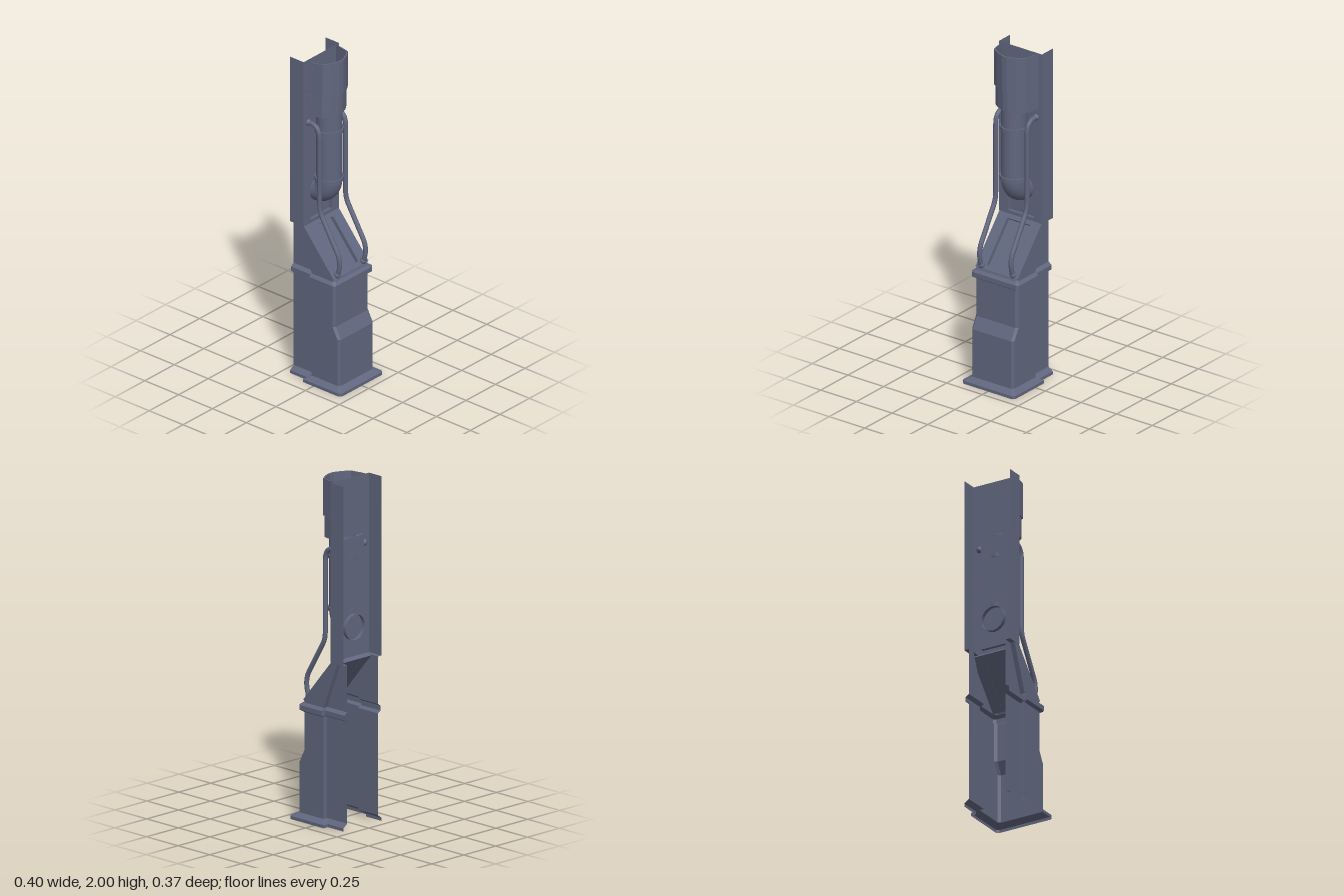
import * as THREE from 'three';

const COLOR = 0x60667e;
const sheetMat = new THREE.MeshStandardMaterial({ color: COLOR, flatShading: true, side: THREE.DoubleSide });
const smoothMat = new THREE.MeshStandardMaterial({ color: COLOR, side: THREE.DoubleSide });

// Open sheet lofted through rows of [x, y, z] points
function loft(rows) {
  const pos = [];
  for (let i = 0; i < rows.length - 1; i++) {
    for (let j = 0; j < rows[i].length - 1; j++) {
      const a = rows[i][j], b = rows[i][j + 1], c = rows[i + 1][j + 1], d = rows[i + 1][j];
      pos.push(...a, ...c, ...b, ...a, ...d, ...c);
    }
  }
  const g = new THREE.BufferGeometry();
  g.setAttribute('position', new THREE.Float32BufferAttribute(pos, 3));
  g.computeVertexNormals();
  return g;
}

// Half outline of [x, z] from the rear edge forward, mirrored to a full row at height y
function row(y, half) {
  const left = half.map(([x, z]) => [x, y, z]);
  const right = half.slice().reverse().map(([x, z]) => [x, y, -z]);
  return [...left, ...right];
}

export function createModel() {
  const group = new THREE.Group();
  const add = (name, geo, mat = sheetMat, parent = group) => {
    const m = new THREE.Mesh(geo, mat);
    m.name = name;
    parent.add(m);
    return m;
  };

  // Pedestal shell, open at the rear: y, rear wall z, step x, body z, front x
  const level = (y, zr, xs, zb, xf, c = 0.014) =>
    row(y, [[-0.2, zr], [xs, zr], [xs, zb], [xf - c, zb], [xf, zb - c]]);
  add('pedestal', loft([
    level(0, 0.15, -0.077, 0.183, 0.2),
    level(0.018, 0.15, -0.077, 0.183, 0.2),
    level(0.04, 0.12, -0.042, 0.148, 0.162),
    level(0.33, 0.12, -0.042, 0.148, 0.162),
    level(0.4, 0.12, -0.042, 0.148, 0.125),
    level(0.63, 0.12, -0.042, 0.148, 0.125),
  ]));
  add('belt', loft([
    level(0.63, 0.12, -0.042, 0.148, 0.125),
    level(0.642, 0.142, -0.045, 0.167, 0.142),
    level(0.67, 0.142, -0.045, 0.167, 0.142),
    level(0.685, 0.12, -0.042, 0.148, 0.125),
    level(0.7, 0.12, -0.048, 0.148, 0.12),
  ]));

  // Shoulder sides
  for (const s of [1, -1]) {
    const side = (y, xs, xf) => [[-0.2, y, s * 0.12], [xs, y, s * 0.12], [xs, y, s * 0.148], [xf, y, s * 0.148]];
    add(s > 0 ? 'shoulderLeft' : 'shoulderRight', loft([side(0.7, -0.048, 0.12), side(0.96, -0.15, -0.1)]));
  }

  // Sloping shoulder face with a sunken window
  const slope = new THREE.Group();
  slope.name = 'shoulderFace';
  const run = new THREE.Vector3(-0.22, 0.26, 0);
  const len = run.length();
  const across = new THREE.Vector3(0, 0, -1);
  const up = run.clone().normalize();
  const out = across.clone().cross(up);
  slope.quaternion.setFromRotationMatrix(new THREE.Matrix4().makeBasis(across, up, out));
  slope.position.set(0.12, 0.7, 0).addScaledVector(out, -0.025);
  group.add(slope);
  const rect = (p, w, y0, y1) => {
    p.moveTo(-w, y0); p.lineTo(w, y0); p.lineTo(w, y1); p.lineTo(-w, y1); p.closePath();
    return p;
  };
  const frame = rect(new THREE.Shape(), 0.148, 0, len);
  frame.holes.push(rect(new THREE.Path(), 0.08, 0.027, len - 0.027));
  add('windowFrame', new THREE.ExtrudeGeometry(frame, { depth: 0.025, bevelEnabled: false }), sheetMat, slope);
  add('windowPanel', new THREE.PlaneGeometry(0.17, len - 0.04), sheetMat, slope).position.set(0, len / 2, 0.001);

  // Upright channel with a shallow recess behind the pipe
  const channel = (y, z, xr) => row(y, [[-0.2, z], [-0.1, z], [-0.1, 0.09], [xr, 0.09]]);
  add('channel', loft([
    channel(0.96, 0.12, -0.1),
    channel(0.96, 0.15, -0.1),
    channel(0.98, 0.15, -0.1),
    channel(0.98, 0.15, -0.12),
    channel(1.66, 0.15, -0.12),
    channel(1.66, 0.15, -0.1),
    channel(2, 0.15, -0.1),
  ]));

  // Faceted collar with a raised upper band and closed bottom
  const arch = [[-0.1, 0.126], [-0.005, 0.104], [0.022, 0.064], [0.04, 0.015]];
  const band = [[-0.06, 0.122], [0.002, 0.109], [0.03, 0.066], [0.049, 0.015]];
  add('collar', loft([
    row(1.66, arch.map(() => [-0.1, 0])),
    row(1.66, arch),
    row(2, arch),
  ]));
  add('collarBand', loft([row(1.785, arch), row(1.785, band), row(2, band), row(2, arch)]));

  // Main pipe and its elbow into the back plate
  const pipeX = -0.042;
  const pipePath = new THREE.CurvePath();
  const v = (x, y, z = 0) => new THREE.Vector3(x, y, z);
  pipePath.add(new THREE.LineCurve3(v(pipeX, 1.67), v(pipeX, 1.23)));
  pipePath.add(new THREE.CubicBezierCurve3(v(pipeX, 1.23), v(pipeX, 1.18), v(-0.07, 1.145), v(-0.12, 1.142)));
  pipePath.add(new THREE.LineCurve3(v(-0.12, 1.142), v(-0.143, 1.142)));
  add('mainPipe', new THREE.TubeGeometry(pipePath, 60, 0.074, 24), smoothMat);
  for (const y of [1.235, 1.54]) {
    const ring = add('pipeRing', new THREE.CylinderGeometry(0.082, 0.082, 0.022, 24), smoothMat);
    ring.position.set(pipeX, y, 0);
  }

  // Pair of thin hoses with end fittings
  for (const s of [1, -1]) {
    const z = s * 0.11;
    const p = (x, y) => v(x, y, z);
    const hose = new THREE.CurvePath();
    hose.add(new THREE.LineCurve3(p(-0.1, 1.605), p(-0.075, 1.605)));
    hose.add(new THREE.QuadraticBezierCurve3(p(-0.075, 1.605), p(-0.017, 1.6), p(-0.017, 1.53)));
    hose.add(new THREE.LineCurve3(p(-0.017, 1.53), p(-0.017, 1.12)));
    hose.add(new THREE.QuadraticBezierCurve3(p(-0.017, 1.12), p(-0.017, 1.07), p(0.005, 1.035)));
    hose.add(new THREE.LineCurve3(p(0.005, 1.035), p(0.115, 0.85)));
    hose.add(new THREE.QuadraticBezierCurve3(p(0.115, 0.85), p(0.147, 0.79), p(0.113, 0.71)));
    add(s > 0 ? 'hoseLeft' : 'hoseRight', new THREE.TubeGeometry(hose, 90, 0.014, 10), smoothMat);
    for (const [x, y] of [[-0.1, 1.605], [0.113, 0.715]]) {
      add('hoseFitting', new THREE.SphereGeometry(0.02, 12, 8), smoothMat).position.set(x, y, z);
    }
  }

  return group;
}
